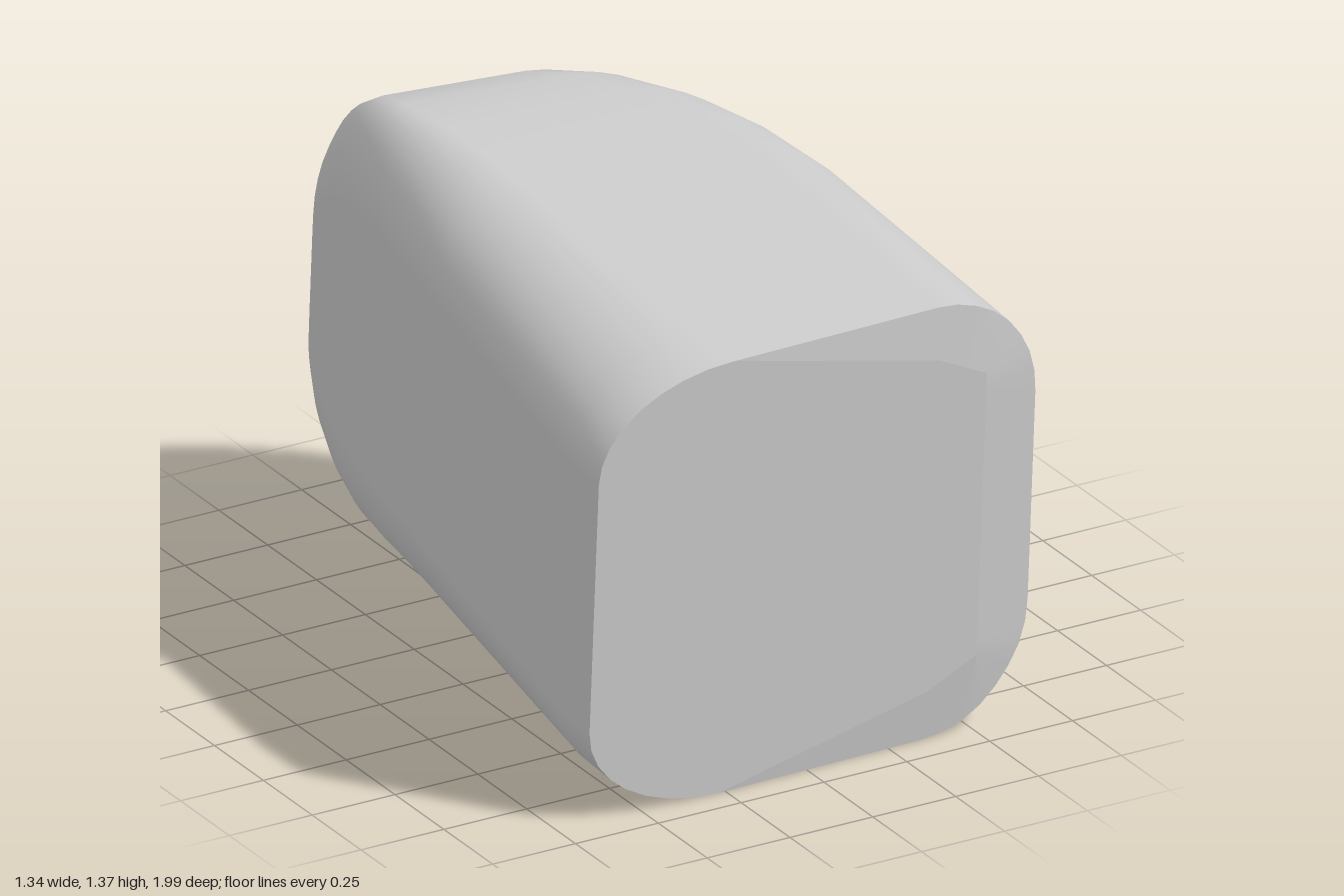
import * as THREE from 'three';
import { toCreasedNormals } from 'three/addons/utils/BufferGeometryUtils.js';

const STEPS = 8; // segments per rounded corner

// Upright slices, front to back: [left x, left z, right x, right z, half height, left corner width, right corner width]
const SLICES = [
  [-0.67, 0.96, 0.67, 0.96, 0.635, 0.4, 0.32],
  [-0.67, 0.82, 0.67, 0.6, 0.635, 0.39, 0.32],
  [-0.54, -0.1, 0.67, 0.02, 0.633, 0.26, 0.32],
  [-0.5, -0.35, 0.645, -0.18, 0.632, 0.22, 0.32],
  [-0.475, -0.52, 0.58, -0.38, 0.63, 0.18, 0.31],
  [-0.45, -0.68, 0.48, -0.57, 0.615, 0.14, 0.3],
  [-0.432, -0.8, 0.38, -0.7, 0.58, 0.13, 0.28],
  [-0.418, -0.89, 0.28, -0.79, 0.52, 0.13, 0.25],
  [-0.405, -0.94, 0.21, -0.835, 0.45, 0.12, 0.22],
  [-0.39, -0.965, 0.15, -0.86, 0.36, 0.11, 0.18],
  [-0.37, -0.975, 0.1, -0.875, 0.28, 0.1, 0.15],
];

// Rounded section, counter-clockwise from the lower right, as [x, height, z]
function section([xl, zl, xr, zr, h, rl, rr]) {
  const points = [];
  for (let c = 0; c < 4; c++) {
    const right = c === 0 || c === 3, top = c === 2 || c === 3;
    const rx = right ? rr : rl;
    const ry = Math.min(right ? 0.33 : 0.27, h * 0.7);
    const cx = right ? xr - rx : xl + rx;
    const cy = top ? h - ry : ry - h;
    // corners in order: lower left, lower right, upper right, upper left
    points.push({ right, top, cx, cy, rx, ry });
  }
  const order = [1, 0, 3, 2]; // lower left, lower right, upper right, upper left
  const ring = [];
  order.forEach((c, k) => {
    const p = points[c];
    for (let s = 0; s <= STEPS; s++) {
      const a = Math.PI * (1 + k / 2 + s / STEPS / 2);
      const x = p.cx + p.rx * Math.cos(a);
      const y = p.cy + p.ry * Math.sin(a);
      ring.push([x, y, THREE.MathUtils.lerp(zl, zr, (x - xl) / (xr - xl))]);
    }
  });
  return ring;
}

// Lean the block: its sections tip forward and the body climbs to the back
const lean = ([x, v, z]) => [x, 0.635 + 0.073 * (0.96 - z) + v, z + 0.065 * v];

function loft(rings, capFront, capBack) {
  const n = rings[0].length;
  const position = rings.flat().flatMap(lean);
  const index = [];
  for (let i = 0; i < rings.length - 1; i++) {
    for (let j = 0; j < n; j++) {
      const a = i * n + j, b = i * n + (j + 1) % n;
      index.push(a, a + n, b, b, a + n, b + n);
    }
  }
  // Close an end with a fan around the middle of its ring
  const cap = (r, front) => {
    const mid = [0, 1, 2].map((k) => rings[r].reduce((sum, p) => sum + p[k], 0) / n);
    const m = position.length / 3;
    position.push(...lean(mid));
    for (let j = 0; j < n; j++) {
      const a = r * n + j, b = r * n + (j + 1) % n;
      if (front) index.push(m, a, b);
      else index.push(m, b, a);
    }
  };
  if (capFront) cap(0, true);
  if (capBack) cap(rings.length - 1, false);
  const geometry = new THREE.BufferGeometry();
  geometry.setAttribute('position', new THREE.Float32BufferAttribute(position, 3));
  geometry.setIndex(index);
  return geometry;
}

export function createModel() {
  const group = new THREE.Group();
  group.name = 'roundedBlock';
  const material = new THREE.MeshStandardMaterial({ color: 0xcccccc, side: THREE.DoubleSide });
  const rings = SLICES.map(section);

  // The front face stops short on its left, leaving a chipped bevel
  const face = rings[0].map(([x, v, z]) => {
    const fx = Math.min(x, 0.5);
    const limit = 0.635 - Math.max(0, fx - 0.05) * 0.49;
    return [fx, THREE.MathUtils.clamp(v, -limit, limit), z];
  });
  rings[0].forEach((p, j) => {
    p[2] -= 0.2 * (p[0] - face[j][0]) + 0.1 * Math.abs(p[1] - face[j][1]);
  });

  // Smooth body with rounded back
  const bodyGeometry = loft(rings, false, true);
  bodyGeometry.computeVertexNormals();
  const body = new THREE.Mesh(bodyGeometry, material);
  body.name = 'body';

  // Flat front face with its bevel
  const front = new THREE.Mesh(toCreasedNormals(loft([face, rings[0]], true, false), 0.1), material);
  front.name = 'frontFace';

  group.add(body, front);
  return group;
}
